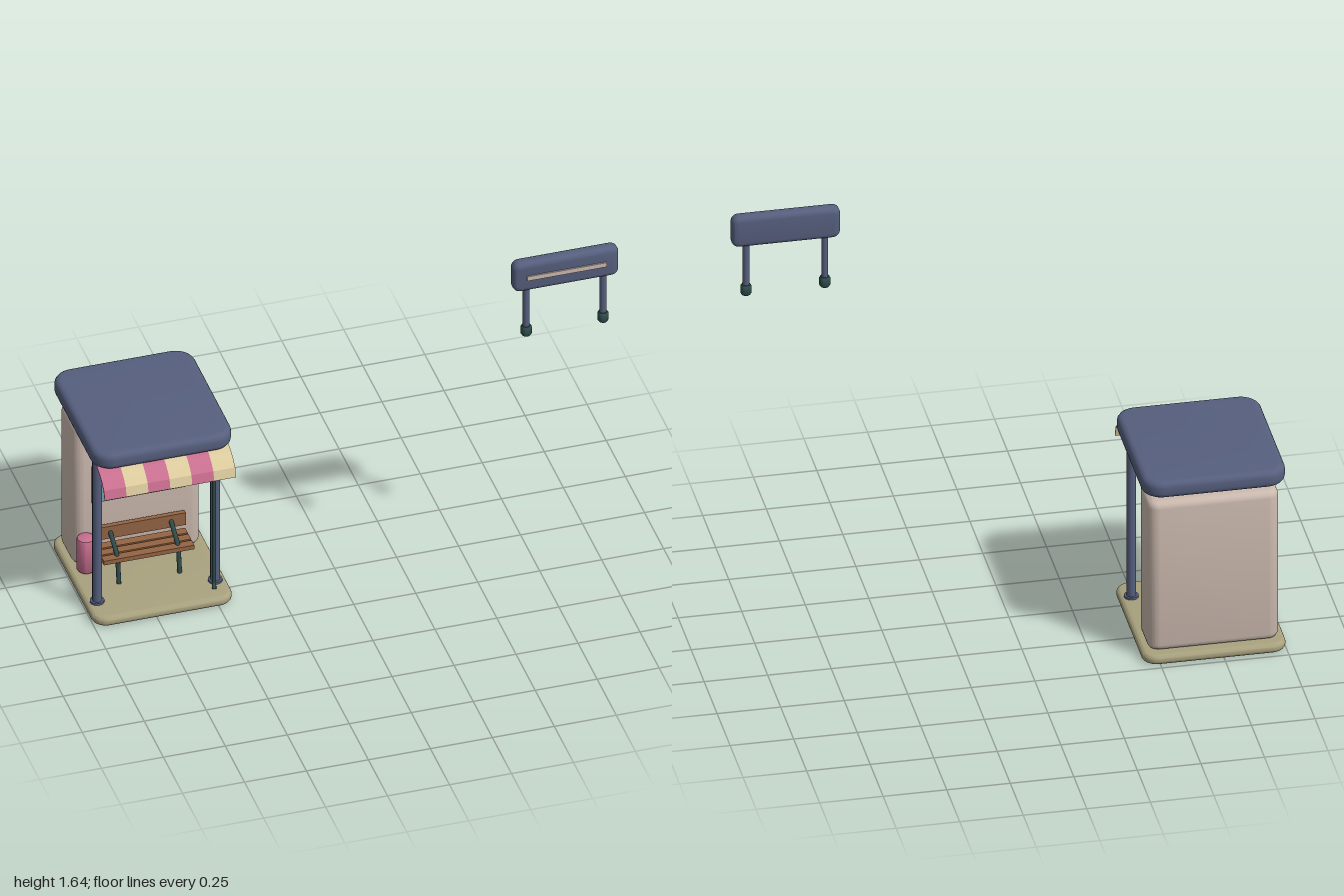
import * as THREE from 'three';
import { toCreasedNormals } from 'three/addons/utils/BufferGeometryUtils.js';

const mat = (name, color, side = THREE.FrontSide) => {
  const m = new THREE.MeshStandardMaterial({ color, side });
  m.name = name;
  return m;
};

export function createModel() {
  const slate = mat('slate blue', 0x565f7e);
  const stone = mat('warm stone', 0xcbb9ae);
  const paving = mat('paving', 0xa9a27f);
  const pink = mat('pink', 0xc96f90);
  const cream = mat('cream', 0xdccb9e);
  const wood = mat('wood', 0x936443);
  const green = mat('dark green', 0x2f4d4b);
  const glass = mat('teal glass', 0x76a3a5);

  const model = new THREE.Group();
  model.name = 'busShelter';
  const add = (name, geometry, material, x = 0, y = 0, z = 0, parent = model) => {
    const mesh = new THREE.Mesh(geometry, material);
    mesh.name = name;
    mesh.position.set(x, y, z);
    parent.add(mesh);
    return mesh;
  };
  const group = (name) => {
    const g = new THREE.Group();
    g.name = name;
    model.add(g);
    return g;
  };

  // Rounded rectangle extruded upwards from y = 0, with rounded rims
  const slab = (w, h, d, radius, bevel) => {
    const a = w / 2 - bevel, b = d / 2 - bevel, r = radius - bevel;
    const s = new THREE.Shape();
    s.moveTo(-a + r, -b);
    s.lineTo(a - r, -b);
    s.absarc(a - r, -b + r, r, -Math.PI / 2, 0);
    s.lineTo(a, b - r);
    s.absarc(a - r, b - r, r, 0, Math.PI / 2);
    s.lineTo(-a + r, b);
    s.absarc(-a + r, b - r, r, Math.PI / 2, Math.PI);
    s.lineTo(-a, -b + r);
    s.absarc(-a + r, -b + r, r, Math.PI, Math.PI * 1.5);
    const g = new THREE.ExtrudeGeometry(s, {
      depth: h - 2 * bevel, bevelSize: bevel, bevelThickness: bevel, bevelSegments: 4, curveSegments: 6,
    });
    g.rotateX(-Math.PI / 2).translate(0, bevel, 0);
    return toCreasedNormals(g, 0.7);
  };
  const rod = (r, h, sides = 16) => new THREE.CylinderGeometry(r, r, h, sides).translate(0, h / 2, 0);
  const pipe = (points, r) => {
    const path = new THREE.CurvePath();
    const v = points.map((p) => new THREE.Vector3(...p));
    for (let i = 1; i < v.length; i++) path.add(new THREE.LineCurve3(v[i - 1], v[i]));
    return new THREE.TubeGeometry(path, 40, r, 8);
  };

  const cx = -0.718;

  // Base, back wall and roof
  add('base', slab(0.565, 0.04, 0.595, 0.06, 0.016), paving, cx, 0, -0.183);
  add('backWall', slab(0.515, 0.66, 0.2, 0.045, 0.028), stone, cx, 0.04, -0.346);
  add('roof', slab(0.565, 0.072, 0.613, 0.08, 0.024), slate, cx, 0.743, -0.183);
  add('windowPanel', new THREE.BoxGeometry(0.375, 0.17, 0.008), glass, cx, 0.42, -0.243);

  // Front posts and ceiling lamps
  for (const side of [-1, 1]) {
    const x = cx + side * 0.238;
    add('post', rod(0.019, 0.71), slate, x, 0.038, -0.007);
    add('postFoot', rod(0.028, 0.011), slate, x, 0.038, -0.007);
    add('lampRim', rod(0.034, 0.01, 20), green, cx + side * 0.155, 0.735, -0.046);
    add('lampLens', rod(0.026, 0.004, 20), cream, cx + side * 0.155, 0.7325, -0.046);
  }

  // Drainpipe beside the post
  add('drainpipe', pipe([[-0.497, 0.75, 0.033], [-0.497, 0.065, 0.033], [-0.503, 0.045, 0.056]], 0.0085), green);

  // Striped awning: a thin curved profile swept along x for each stripe
  const outer = [[0.08, 0.748], [0.12, 0.735], [0.152, 0.716], [0.175, 0.694], [0.186, 0.655]];
  const inner = outer.map(([z, y]) => [z - 0.004, y - 0.003]).reverse();
  const profile = new THREE.Shape([...outer, ...inner].map(([z, y]) => new THREE.Vector2(z, y)));
  const stripe = 0.53 / 6;
  const stripeGeo = new THREE.ExtrudeGeometry(profile, { depth: stripe, bevelEnabled: false });
  stripeGeo.rotateY(-Math.PI / 2);
  const awning = group('awning');
  for (let i = 0; i < 6; i++) {
    add('awningStripe', stripeGeo, i % 2 ? cream : pink, -0.985 + (i + 1) * stripe, 0, 0, awning);
  }

  // Bench: three seat slats, a back board and two bent supports
  const bench = group('bench');
  for (const z of [-0.116, -0.159, -0.202]) {
    add('seatSlat', new THREE.BoxGeometry(0.365, 0.019, 0.035), wood, cx, 0.146, z, bench);
  }
  add('backBoard', new THREE.BoxGeometry(0.365, 0.057, 0.02), wood, cx, 0.206, -0.218, bench);
  for (const x of [-0.84, -0.595]) {
    add('benchSupport', pipe([[x, 0.04, -0.098], [x, 0.135, -0.113], [x, 0.162, -0.13], [x, 0.212, -0.222]], 0.0095), green, 0, 0, 0, bench);
  }

  // Litter bin with rounded rims
  const binProfile = [[0, 0], [0.031, 0], [0.037, 0.008], [0.037, 0.143], [0.034, 0.15], [0.028, 0.153], [0, 0.153]];
  const binGeo = new THREE.LatheGeometry(binProfile.map(([r, y]) => new THREE.Vector2(r, y)), 24);
  add('bin', toCreasedNormals(binGeo, 0.7), pink, -0.937, 0.047, -0.214);

  // Raised sign on two legs
  const sign = group('sign');
  const board = slab(0.427, 0.056, 0.135, 0.03, 0.022).rotateX(Math.PI / 2);
  add('signBoard', board, slate, 0.786, 1.577, 0.431, sign);
  add('signStrip', new THREE.BoxGeometry(0.32, 0.02, 0.009), stone, 0.786, 1.576, 0.4885, sign);
  const capProfile = [[0, 0], [0.017, 0], [0.022, 0.008], [0.022, 0.036], [0.017, 0.044], [0, 0.044]];
  const capGeo = toCreasedNormals(
    new THREE.LatheGeometry(capProfile.map(([r, y]) => new THREE.Vector2(r, y)), 16), 0.7);
  for (const x of [0.631, 0.941]) {
    add('signLeg', rod(0.0135, 0.22), slate, x, 1.3, 0.458, sign);
    add('signLegCap', capGeo, green, x, 1.29, 0.458, sign);
  }

  return model;
}
